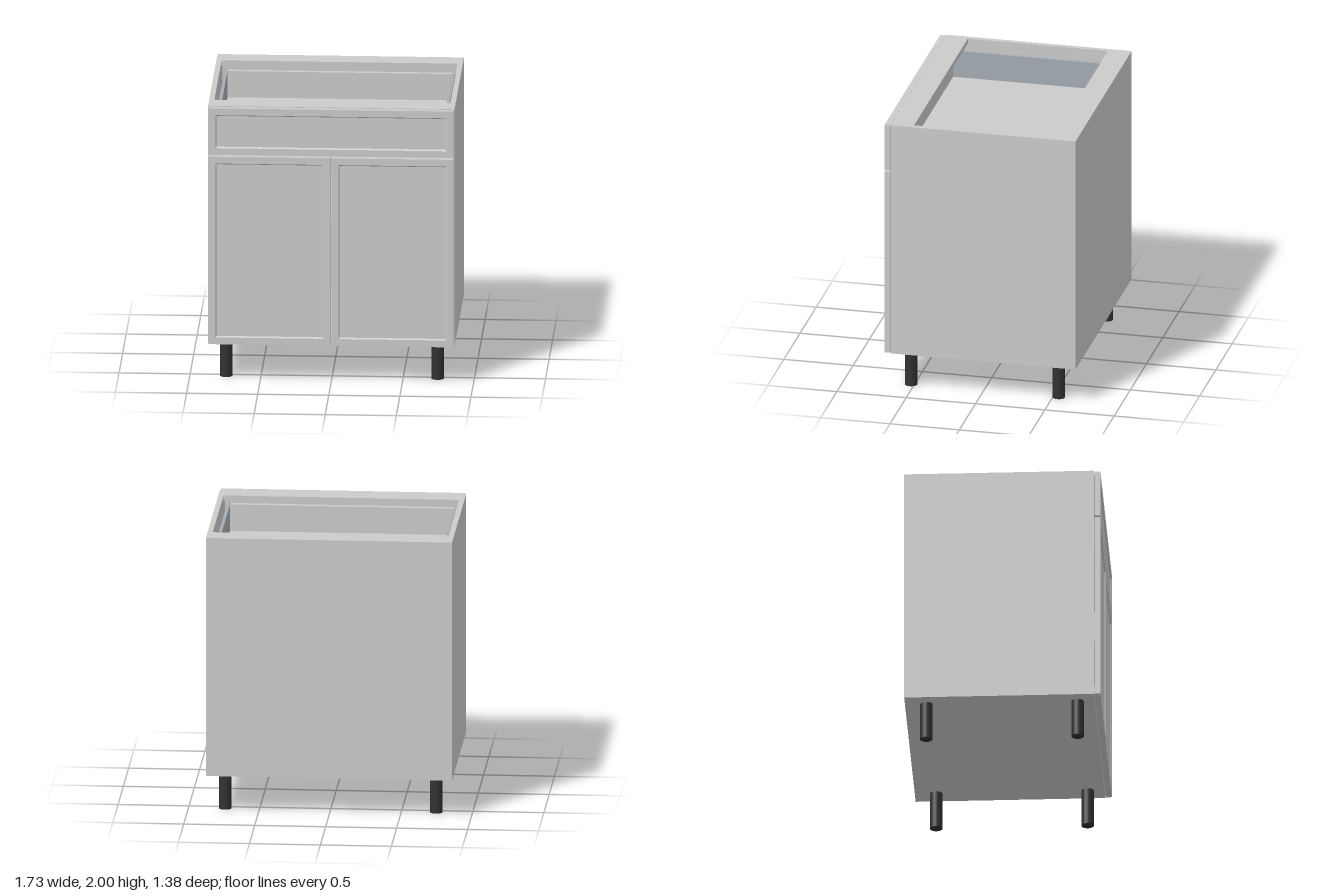
import * as THREE from 'three';

const grey = new THREE.MeshStandardMaterial({ color: 0xcccccc });
const metal = new THREE.MeshStandardMaterial({ color: 0xa4adb4 });
const black = new THREE.MeshStandardMaterial({ color: 0x303132 });

// Box given by its minimum and maximum on each axis
function panel(parent, name, [x0, x1], [y0, y1], [z0, z1], material = grey) {
  const mesh = new THREE.Mesh(new THREE.BoxGeometry(x1 - x0, y1 - y0, z1 - z0), material);
  mesh.position.set((x0 + x1) / 2, (y0 + y1) / 2, (z0 + z1) / 2);
  mesh.name = name;
  parent.add(mesh);
  return mesh;
}

// Framed front: nested rectangles stepping from the back, over the frame, into the recess
function framedFront(parent, name, [x0, x1], [y0, y1], frame) {
  const back = 0.648, front = 0.69, recess = 0.678, slope = 0.008;
  const ring = (inset, z) => [
    [x0 + inset, y0 + inset, z], [x1 - inset, y0 + inset, z],
    [x1 - inset, y1 - inset, z], [x0 + inset, y1 - inset, z],
  ];
  const rings = [ring(0, back), ring(0, front), ring(frame, front), ring(frame + slope, recess)];
  const positions = [];
  const quad = (a, b, c, d) => positions.push(...a, ...b, ...c, ...a, ...c, ...d);
  for (let r = 0; r < 3; r++) {
    for (let i = 0; i < 4; i++) {
      const j = (i + 1) % 4;
      quad(rings[r][i], rings[r][j], rings[r + 1][j], rings[r + 1][i]);
    }
  }
  quad(...rings[3]);
  quad(...[...rings[0]].reverse());
  const geometry = new THREE.BufferGeometry();
  geometry.setAttribute('position', new THREE.Float32BufferAttribute(positions, 3));
  geometry.computeVertexNormals();
  const mesh = new THREE.Mesh(geometry, grey);
  mesh.name = name;
  parent.add(mesh);
}

export function createModel() {
  const model = new THREE.Group();
  model.name = 'baseCabinet';

  // Carcass
  const carcass = new THREE.Group();
  carcass.name = 'carcass';
  model.add(carcass);
  const inner = [-0.83, 0.83];
  panel(carcass, 'leftSide', [0.83, 0.867], [0.27, 2], [-0.69, 0.645]);
  panel(carcass, 'rightSide', [-0.867, -0.83], [0.27, 2], [-0.69, 0.645]);
  panel(carcass, 'bottomPanel', inner, [0.27, 0.307], [-0.69, 0.645]);
  panel(carcass, 'backPanel', inner, [0.307, 1.963], [-0.69, -0.653]);
  panel(carcass, 'backTopRail', inner, [1.963, 2], [-0.69, -0.528]);
  panel(carcass, 'frontTopRail', inner, [1.963, 2], [0.483, 0.645]);
  panel(carcass, 'shelf', inner, [1.12, 1.157], [-0.653, 0.6]);

  // Drawer box
  const drawer = new THREE.Group();
  drawer.name = 'drawer';
  model.add(drawer);
  panel(drawer, 'drawerBottom', [-0.79, 0.79], [1.685, 1.718], [-0.61, 0.62]);
  panel(drawer, 'drawerBack', [-0.79, 0.79], [1.718, 1.91], [-0.61, -0.575]);
  panel(drawer, 'drawerInnerFront', [-0.79, 0.79], [1.718, 1.91], [0.58, 0.62]);
  for (const [side, s] of [['Left', 1], ['Right', -1]]) {
    const wall = panel(drawer, `drawer${side}Wall`, [0.79, 0.812], [1.685, 1.915], [-0.61, 0.62], metal);
    wall.position.x *= s;
  }

  // Drawer front and pair of doors
  framedFront(drawer, 'drawerFront', [-0.862, 0.862], [1.655, 1.996], 0.05);
  framedFront(model, 'leftDoor', [0.003, 0.862], [0.273, 1.643], 0.05);
  framedFront(model, 'rightDoor', [-0.862, -0.003], [0.273, 1.643], 0.05);

  // Round legs
  const legGeometry = new THREE.CylinderGeometry(0.044, 0.044, 0.27, 32);
  for (const [side, x] of [['Left', 0.742], ['Right', -0.745]]) {
    for (const [end, z] of [['front', 0.525], ['back', -0.54]]) {
      const leg = new THREE.Mesh(legGeometry, black);
      leg.position.set(x, 0.135, z);
      leg.name = `${end}${side}Leg`;
      model.add(leg);
    }
  }
  return model;
}
